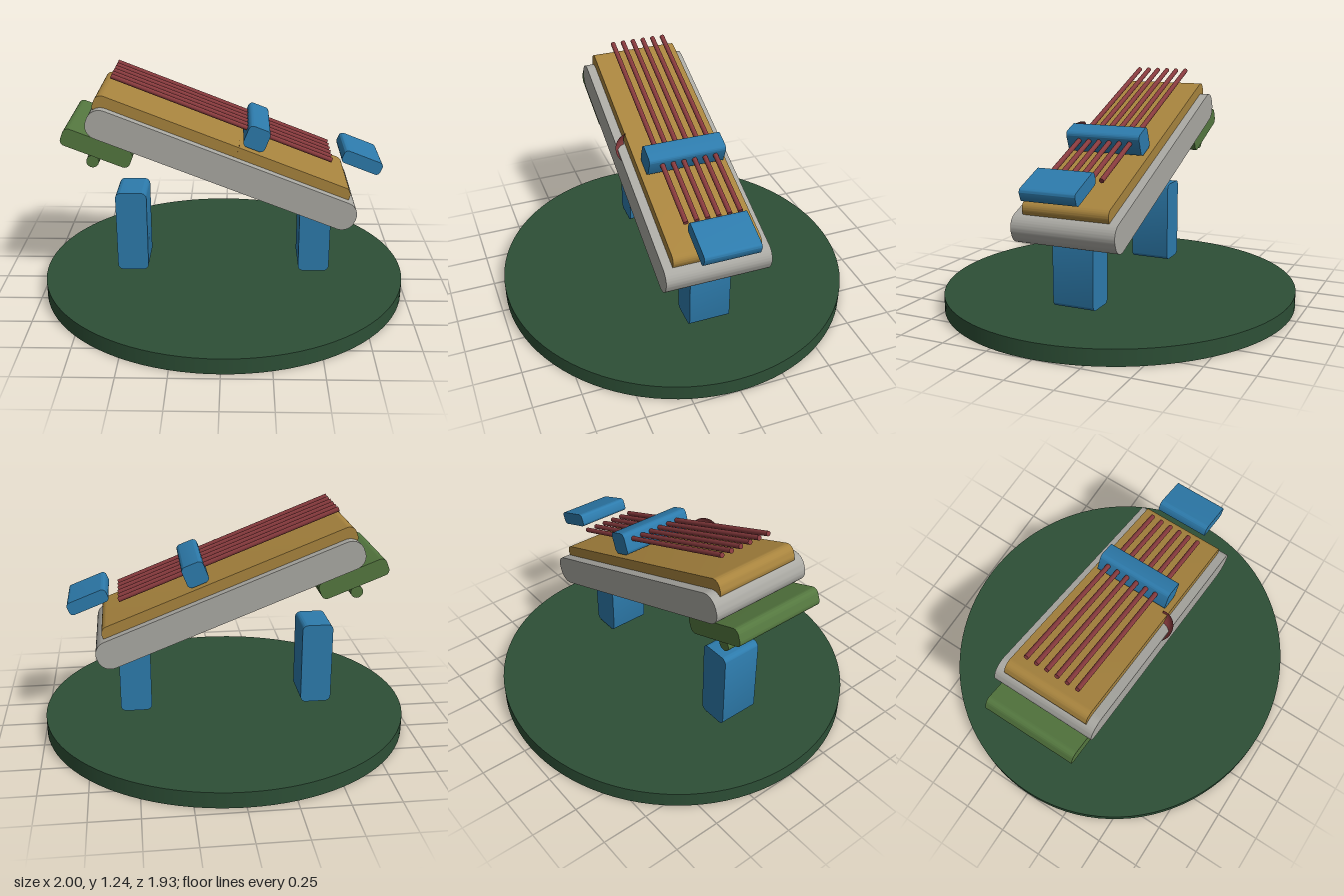
import * as THREE from 'three';
import { toCreasedNormals } from 'three/addons/utils/BufferGeometryUtils.js';

const TILT = -0.375;

function material(name, color) {
  const m = new THREE.MeshStandardMaterial({ color });
  m.name = name;
  return m;
}

// Slab with a rounded x-y outline, extruded along z and centred on the origin
function slabGeometry(w, h, d, r) {
  const x = w / 2, y = h / 2, q = Math.PI / 2;
  const s = new THREE.Shape();
  s.absarc(x - r, y - r, r, 0, q);
  s.absarc(-x + r, y - r, r, q, 2 * q);
  s.absarc(-x + r, -y + r, r, 2 * q, 3 * q);
  s.absarc(x - r, -y + r, r, 3 * q, 4 * q);
  s.closePath();
  const g = new THREE.ExtrudeGeometry(s, { depth: d, bevelEnabled: false, curveSegments: 8 });
  g.translate(0, 0, -d / 2);
  return toCreasedNormals(g, 0.6);
}

export function createModel() {
  const model = new THREE.Group();
  const darkGreen = material('dark green', 0x2d4f36);
  const leafGreen = material('leaf green', 0x54773f);
  const blue = material('blue', 0x2d7bac);
  const grey = material('warm grey', 0xaaa9a3);
  const gold = material('gold', 0xa8843e);
  const red = material('dark red', 0x873a3d);

  function add(name, geometry, mat, x, y, z, tilt = 0) {
    const mesh = new THREE.Mesh(geometry, mat);
    mesh.name = name;
    mesh.position.set(x, y, z);
    mesh.rotation.z = tilt;
    model.add(mesh);
    return mesh;
  }

  // Slightly oval base plate
  const base = add('base', new THREE.CylinderGeometry(1, 1, 0.085, 96), darkGreen, 0, 0.0425, 0);
  base.scale.z = 0.963;

  // Two upright posts
  for (const x of [-0.505, 0.5]) add('post', slabGeometry(0.17, 0.46, 0.225, 0.03), blue, x, 0.34, 0);

  // Tilted body and top board
  add('body', slabGeometry(1.49, 0.157, 0.568, 0.07), grey, 0, 0.768, 0, TILT);
  add('topBoard', slabGeometry(1.42, 0.1, 0.472, 0.04), gold, 0, 0.86, 0, TILT);

  // Six parallel strings
  for (let i = 0; i < 6; i++) {
    add('string', new THREE.CylinderGeometry(0.013, 0.013, 1.235, 16), red,
      -0.002, 1.005, -0.155 + i * 0.058, TILT + Math.PI / 2);
  }

  // Bridge across the strings and the block at the low end
  add('bridge', slabGeometry(0.12, 0.12, 0.417, 0.025), blue, 0.174, 0.918, -0.002, TILT);
  add('endBlock', slabGeometry(0.22, 0.071, 0.296, 0.022), blue, 0.733, 0.768, -0.002, TILT);

  // Plate and round bar under the high end
  add('rearPlate', slabGeometry(0.379, 0.095, 0.514, 0.03), leafGreen, -0.652, 0.88, 0, TILT);
  const bar = add('rearBar', new THREE.CylinderGeometry(0.033, 0.033, 0.43, 24), leafGreen, -0.682, 0.793, 0);
  bar.rotation.x = Math.PI / 2;

  // Hollow half-round cup on the front side; mirrored so that it faces inward
  const cup = new THREE.SphereGeometry(0.082, 32, 24, Math.PI, Math.PI);
  cup.scale(1, 1, -1);
  cup.computeVertexNormals();
  add('sideCup', cup, red, 0.003, 0.897, 0.226).rotation.y = 0.2;

  return model;
}
